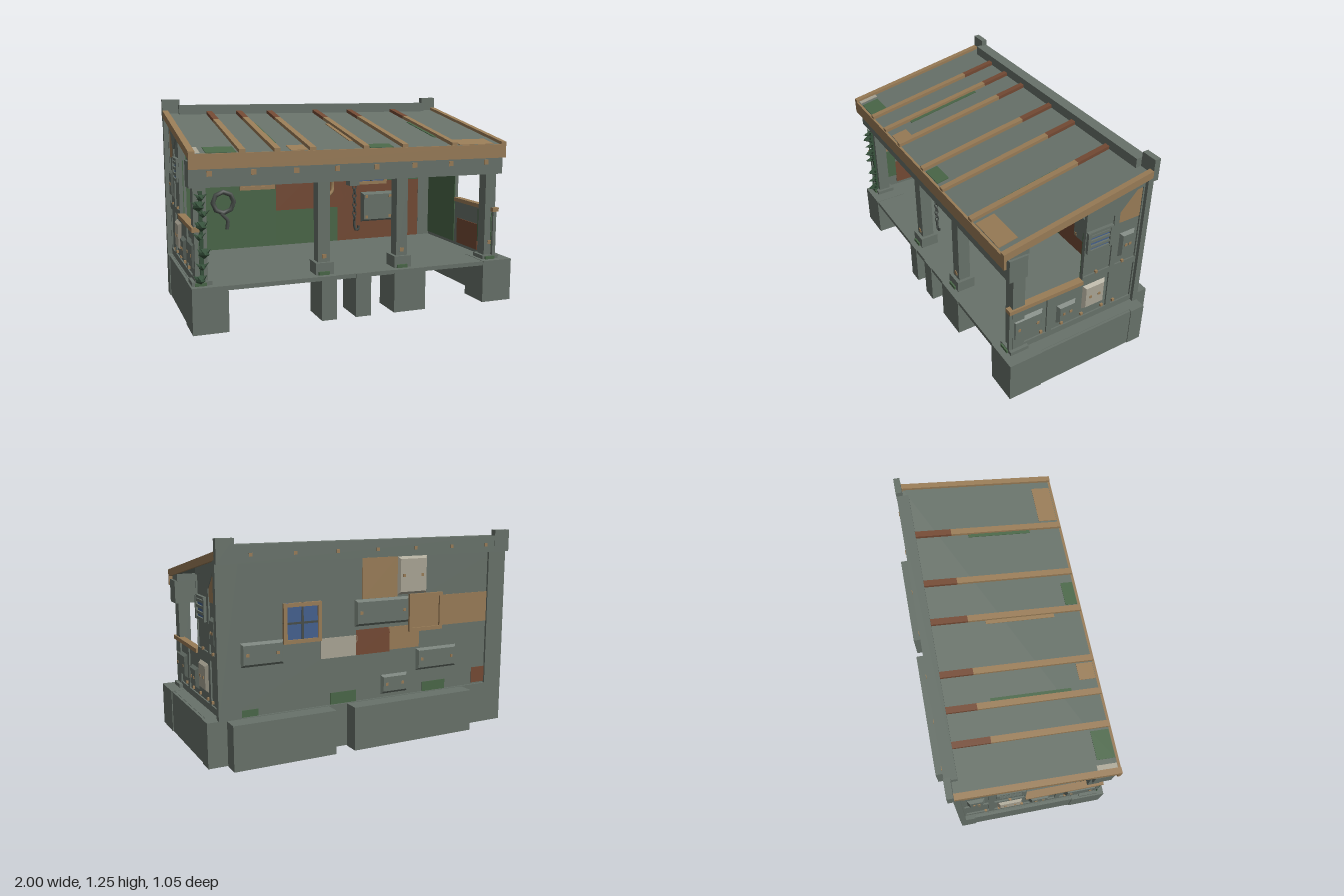
import * as THREE from 'three';

const mat = (name, color) => {
  const m = new THREE.MeshStandardMaterial({ color });
  m.name = name;
  return m;
};
const grey = mat('weathered grey', 0x68726a), wood = mat('tan wood', 0x997c57), rust = mat('rust brown', 0x744a34);
const green = mat('faded green', 0x4a6748), cream = mat('cream', 0xaaa595), blue = mat('glass blue', 0x44608f);
const iron = mat('dark iron', 0x474d49), leaf = mat('leaf green', 0x36513b), dial = mat('dial white', 0xc6c5b6);

const MID = -0.03;    // centre line of the house body
const SLOPE = 0.194;  // roof pitch
const roofY = z => 1.102 - SLOPE * z;

export function createModel() {
  const root = new THREE.Group();
  root.name = 'stall';

  const add = (name, geo, m, x = 0, y = 0, z = 0, ry = 0) => {
    const mesh = new THREE.Mesh(geo, m);
    mesh.name = name;
    mesh.position.set(x, y, z);
    mesh.rotation.y = ry;
    root.add(mesh);
    return mesh;
  };
  const box = (name, m, x0, x1, y0, y1, z0, z1) =>
    add(name, new THREE.BoxGeometry(x1 - x0, y1 - y0, z1 - z0), m, (x0 + x1) / 2, (y0 + y1) / 2, (z0 + z1) / 2);
  // box on either side wall, given by its distance from the centre line
  const sideBox = (name, m, s, d0, d1, y0, y1, z0, z1) =>
    s > 0 ? box(name, m, MID + d0, MID + d1, y0, y1, z0, z1) : box(name, m, MID - d1, MID - d0, y0, y1, z0, z1);
  // box sheared to the roof pitch, heights measured from the roof line
  const roofBox = (name, m, x0, x1, z0, z1, h0, h1) => {
    const g = new THREE.BoxGeometry(x1 - x0, h1 - h0, z1 - z0).translate((x0 + x1) / 2, (h0 + h1) / 2, (z0 + z1) / 2);
    const p = g.attributes.position;
    for (let i = 0; i < p.count; i++) p.setY(i, p.getY(i) + roofY(p.getZ(i)));
    g.computeVertexNormals();
    return add(name, g, m);
  };
  // plate with bevelled rim, facing +z before turning
  const plate = (name, m, w, h, x, y, z, ry, depth = 0.016) => {
    const g = new THREE.BoxGeometry(w, h, depth);
    const p = g.attributes.position;
    for (let i = 0; i < p.count; i++) if (p.getZ(i) > 0) {
      p.setX(i, Math.sign(p.getX(i)) * (w / 2 - 0.016));
      p.setY(i, Math.sign(p.getY(i)) * (h / 2 - 0.016));
    }
    g.computeVertexNormals();
    return add(name, g, m, x, y, z, ry);
  };

  // ---- Foundation ----
  box('floor', grey, -0.98, 0.98, 0.235, 0.26, -0.41, 0.515);
  box('backSill', grey, -1, 1, 0, 0.26, -0.415, -0.32);
  for (const s of [-1, 1]) {
    const a = s > 0 ? 0.9 : -0.995, b = s > 0 ? 0.995 : -0.9;
    box('sideSill', grey, a, b, 0, 0.258, -0.32, 0.32);
    box('cornerBlock', grey, s > 0 ? 0.8 : -1, s > 0 ? 1 : -0.8, 0, 0.262, 0.31, 0.52);
  }
  for (const [a, b] of [[-0.26, -0.17], [-0.05, 0.045], [0.195, 0.4]]) box('frontBlock', grey, a, b, 0, 0.26, 0.31, 0.52);
  for (const [a, b] of [[-0.68, 0.15], [0.27, 0.89]]) box('backBlock', grey, a, b, 0, 0.26, -0.525, -0.425);

  // ---- Back wall, posts and parapet ----
  box('backWall', grey, -0.97, 0.91, 0.26, 1.14, -0.402, -0.385);
  box('backPost', grey, -1, -0.87, 0.26, 1.14, -0.416, -0.38);
  box('backPost', grey, 0.8, 0.933, 0.26, 1.14, -0.416, -0.38);
  box('parapet', grey, -0.9, 0.83, 1.115, 1.215, -0.443, -0.372);
  box('parapetEnd', grey, -1, -0.89, 1.115, 1.25, -0.445, -0.408);
  box('parapetEnd', grey, 0.83, 0.933, 1.115, 1.25, -0.445, -0.408);
  for (let i = 0; i < 7; i++) box('bolt', wood, -0.83 + i * 0.26, -0.81 + i * 0.26, 1.15, 1.17, -0.448, -0.44);

  // painted patches on the outside of the back wall
  for (const [m, x0, x1, y0, y1] of [
    [wood, -0.2, 0.04, 0.87, 1.11], [cream, 0.07, 0.31, 0.54, 0.66], [rust, -0.15, 0.08, 0.54, 0.69],
    [wood, -0.36, -0.14, 0.55, 0.69], [wood, -0.87, -0.53, 0.67, 0.86], [rust, -0.87, -0.77, 0.27, 0.37],
    [green, 0.7, 0.8, 0.26, 0.3], [green, 0.08, 0.25, 0.26, 0.33], [green, -0.56, -0.39, 0.26, 0.32],
  ]) box('backPatch', m, x0, x1, y0, y1, -0.406, -0.4);
  // bolted plates on the outside of the back wall
  for (const [m, x0, x1, y0, y1] of [
    [grey, 0.54, 0.8, 0.54, 0.68], [cream, -0.41, -0.2, 0.88, 1.11], [grey, -0.285, 0.09, 0.71, 0.87],
    [grey, -0.28, -0.09, 0.28, 0.4], [grey, -0.64, -0.34, 0.4, 0.54],
  ]) {
    plate('backPlate', m, x1 - x0, y1 - y0, (x0 + x1) / 2, (y0 + y1) / 2, -0.409, Math.PI);
    for (const x of [x0 + 0.04, x1 - 0.04]) box('bolt', wood, x - 0.009, x + 0.009, (y0 + y1) / 2 - 0.009, (y0 + y1) / 2 + 0.009, -0.42, -0.414);
  }
  // painted patches on the inside of the back wall
  for (const [m, x0, x1, y0, y1] of [
    [green, -0.93, -0.27, 0.26, 1.05], [rust, -0.27, 0.32, 0.5, 1.05], [green, -0.27, 0.175, 0.26, 0.5],
    [rust, 0.175, 0.87, 0.26, 0.67], [rust, 0.175, 0.32, 0.5, 0.67], [green, 0.32, 0.87, 0.67, 1.05],
  ]) box('insidePatch', m, x0, x1, y0, y1, -0.387, -0.381);

  // ---- Windows through the back wall ----
  const windowFrame = (x0, x1, y0, y1, fill) => {
    const t = 0.022, z0 = -0.422, z1 = -0.366;
    box('windowFill', fill, x0, x1, y0, y1, -0.411, -0.376);
    for (const x of [x0, x1 - t]) box('windowFrame', wood, x, x + t, y0, y1, z0, z1);
    for (const y of [y0, y1 - t]) box('windowFrame', wood, x0, x1, y, y + t, z0, z1);
    if (fill !== blue) return;
    const cx = (x0 + x1) / 2, cy = (y0 + y1) / 2;
    box('mullion', iron, cx - 0.006, cx + 0.006, y0, y1, -0.416, -0.371);
    box('mullion', iron, x0, x1, cy - 0.006, cy + 0.006, -0.416, -0.371);
  };
  windowFrame(0.31, 0.545, 0.65, 0.88, blue);
  windowFrame(-0.52, -0.28, 0.65, 0.88, wood);

  // ---- Side walls ----
  const poly = pts => new THREE.Shape(pts.map(([z, y]) => new THREE.Vector2(-z, y)));
  const rect = (z0, z1, y0, y1) => [[z1, y0], [z0, y0], [z0, y1], [z1, y1]];
  const arch = [[-0.005, 0.6], [-0.19, 0.6], [-0.19, 0.955], [-0.09, 1.035], [-0.005, 1.02]];
  const gable = [[-0.225, 0.6], [-0.37, 0.6], [-0.37, 1.085], [-0.33, 1.08], [-0.225, 0.965]];
  const outline = [[0.475, 0.26], [-0.41, 0.26], [-0.41, roofY(-0.41) - 0.035], [0, roofY(0) - 0.035], [0, 0.565], [0.475, 0.565]];
  const wallSlab = (name, m, s, d0, d1, shape) =>
    add(name, new THREE.ExtrudeGeometry(shape, { depth: d1 - d0, bevelEnabled: false }).rotateY(Math.PI / 2), m, s > 0 ? MID + d0 : MID - d1);

  for (const s of [-1, 1]) {
    const turn = s * Math.PI / 2;
    wallSlab('sideWall', grey, s, 0.92, 0.933, poly(outline));
    const frame = poly(outline);
    frame.holes = [rect(-0.19, 0.197, 0.3, 0.56), rect(0.23, 0.455, 0.3, 0.56), rect(-0.37, -0.225, 0.3, 0.56), arch, gable].map(poly);
    wallSlab('sideFrame', grey, s, 0.932, 0.942, frame);
    wallSlab('gablePatch', wood, s, 0.93, 0.937, poly([[-0.225, 0.89], [-0.37, 0.89], ...gable.slice(2)]));
    sideBox('handrail', wood, s, 0.912, 0.955, 0.56, 0.585, 0, 0.48);
    // bolted plates
    for (const [m, z0, z1, y0, y1, gap] of [
      [grey, 0.255, 0.455, 0.345, 0.495, 0.06], [grey, 0.03, 0.16, 0.33, 0.46, 0.023],
      [cream, -0.17, -0.015, 0.355, 0.525, 0.03], [grey, -0.35, -0.245, 0.645, 0.81, 0.014],
    ]) {
      const cz = (z0 + z1) / 2, cy = (y0 + y1) / 2;
      plate('sidePlate', m, z1 - z0, y1 - y0, MID + s * 0.942, cy, cz, turn, 0.02);
      for (const k of [-1, 1]) sideBox('bolt', wood, s, 0.95, 0.956, cy - 0.008, cy + 0.008, cz + k * gap - 0.008, cz + k * gap + 0.008);
    }
    for (const [z, y] of [[0.265, 0.32], [0.125, 0.32], [-0.015, 0.32], [-0.16, 0.32], [-0.245, 0.32], [-0.095, 0.605], [-0.28, 0.605]])
      sideBox('bolt', wood, s, 0.93, 0.946, y - 0.008, y + 0.008, z - 0.008, z + 0.008);
    // louvred vent
    sideBox('ventGlass', blue, s, 0.93, 0.942, 0.775, 0.9, -0.175, -0.015);
    for (const z of [-0.18, -0.029]) sideBox('ventFrame', grey, s, 0.93, 0.955, 0.77, 0.905, z, z + 0.019);
    for (const y of [0.77, 0.802, 0.838, 0.872, 0.893]) sideBox('louvre', grey, s, 0.93, 0.952, y, y + 0.016, -0.18, -0.01);
    // painted patches inside
    for (const [m, y0, y1, z0, z1] of [[rust, 0.28, 0.45, 0.04, 0.3], [green, 0.34, 0.55, 0.3, 0.46], [green, 0.28, 0.9, -0.38, 0]])
      sideBox('innerSidePatch', m, s, 0.915, 0.921, y0, y1, z0, z1);
  }

  // ---- Front columns and beam ----
  for (const x of [-0.935, -0.225, 0.27, 0.878]) {
    const corner = Math.abs(x) > 0.5;
    box('column', grey, x - 0.036, x + 0.036, 0.26, 0.81, 0.38, 0.455);
    box('columnBase', grey, x - 0.055, x + 0.055, 0.26, corner ? 0.285 : 0.33, 0.36, 0.475);
    box('bolt', wood, x - 0.012, x + 0.012, 0.353, 0.377, 0.454, 0.46);
    box('moss', green, x - 0.04, x + 0.025, 0.26, 0.28, 0.46, 0.485);
  }
  box('frontBeam', grey, -0.997, 0.933, 0.8, 0.943, 0.38, 0.49);
  box('topPlate', grey, -0.985, 0.92, 0.94, 0.985, 0.365, 0.475);
  for (let i = 0; i < 8; i++) {
    const x = -0.885 + i * 0.243;
    box('beamBolt', wood, x - 0.015, x + 0.015, 0.86, 0.89, 0.488, 0.495);
  }

  // ---- Roof ----
  roofBox('roofSheet', grey, -0.98, 0.915, -0.405, 0.515, -0.045, -0.018);
  roofBox('rakeTrim', wood, -1, -0.965, -0.41, 0.525, -0.045, 0);
  roofBox('rakeTrim', wood, 0.9, 0.933, -0.41, 0.525, -0.045, 0);
  box('fascia', wood, -1, 0.933, 0.903, 0.985, 0.508, 0.525);
  [[-0.71, -0.16], [-0.515, -0.2], [-0.31, -0.185], [0.01, -0.16], [0.255, -0.18], [0.58, -0.16]].forEach(([x, z]) => {
    roofBox('rib', wood, x - 0.018, x + 0.018, z, 0.52, -0.02, 0.002);
    roofBox('ribRust', rust, x - 0.018, x + 0.018, -0.39, z, -0.02, 0.002);
  });
  for (const [m, x0, x1, z0, z1] of [
    [cream, -0.965, -0.935, 0.39, 0.508], [green, -0.905, -0.74, 0.4, 0.508], [wood, -0.435, -0.335, 0.41, 0.508],
    [green, 0.04, 0.185, 0.435, 0.508], [wood, 0.62, 0.855, 0.395, 0.508], [green, -0.497, -0.475, -0.12, 0.35],
    [wood, -0.03, -0.008, -0.06, 0.35], [green, 0.543, 0.562, -0.06, 0.32],
  ]) roofBox('roofPatch', m, x0, x1, z0, z1, -0.019, -0.014);

  // ---- Fittings on the inside of the back wall ----
  plate('wallPlate', grey, 0.25, 0.21, 0.475, 0.49, -0.366, 0, 0.03);
  for (const x of [0.385, 0.565]) for (const y of [0.42, 0.565]) box('bolt', wood, x - 0.01, x + 0.01, y - 0.01, y + 0.01, -0.355, -0.348);
  add('hoseCoil', new THREE.TorusGeometry(0.07, 0.016, 6, 8), iron, -0.635, 0.58, -0.355);
  const tube = (name, m, pts, r) =>
    add(name, new THREE.TubeGeometry(new THREE.CatmullRomCurve3(pts.map(p => new THREE.Vector3(...p))), 10, r, 6), m);
  tube('hoseTail', iron, [[-0.655, 0.51, -0.35], [-0.63, 0.485, -0.35], [-0.61, 0.46, -0.35], [-0.615, 0.4, -0.35]], 0.013);
  box('meterBox', grey, 0.045, 0.19, 0.705, 0.84, -0.385, -0.325);
  for (const x of [0.087, 0.157])
    add('gauge', new THREE.CylinderGeometry(0.03, 0.03, 0.012, 8).rotateX(Math.PI / 2), dial, x, 0.768, -0.32);
  tube('spout', wood, [[0.125, 0.71, -0.35], [0.125, 0.65, -0.35], [0.12, 0.62, -0.34], [0.075, 0.585, -0.32]], 0.013);

  // ---- Hanging chain and hook ----
  box('chainMount', grey, -0.065, -0.005, 0.765, 0.81, 0.395, 0.455);
  for (let i = 0; i < 8; i++)
    add('chainLink', new THREE.TorusGeometry(0.014, 0.005, 4, 6).scale(0.8, 1.2, 1), iron, -0.025, 0.755 - i * 0.026, 0.425, i % 2 * Math.PI / 2);
  tube('hook', iron, [[-0.025, 0.56, 0.425], [-0.025, 0.53, 0.425], [-0.015, 0.5, 0.425], [0.0, 0.505, 0.425], [0.002, 0.525, 0.425]], 0.008);

  // ---- Spiky climbing plant on the front corner ----
  box('vineStem', leaf, -0.942, -0.922, 0.27, 0.78, 0.455, 0.47);
  [0.295, 0.365, 0.44, 0.53, 0.59, 0.655, 0.7, 0.745].forEach((y, i) => {
    const r = i % 2 ? 0.02 : 0.032, x = -0.932 + (i % 3 - 1) * 0.012;
    add('vineLeaf', new THREE.ConeGeometry(r, 0.055, 5).rotateX(Math.PI / 2).toNonIndexed(), leaf, x, y, 0.495).geometry.computeVertexNormals();
    for (const k of [-1, 1]) {
      const tip = add('vineLeaf', new THREE.ConeGeometry(r * 0.6, 0.045, 4), leaf, x + k * 0.02, y + 0.012, 0.475);
      tip.rotation.z = -k * 0.9;
    }
  });
  return root;
}
